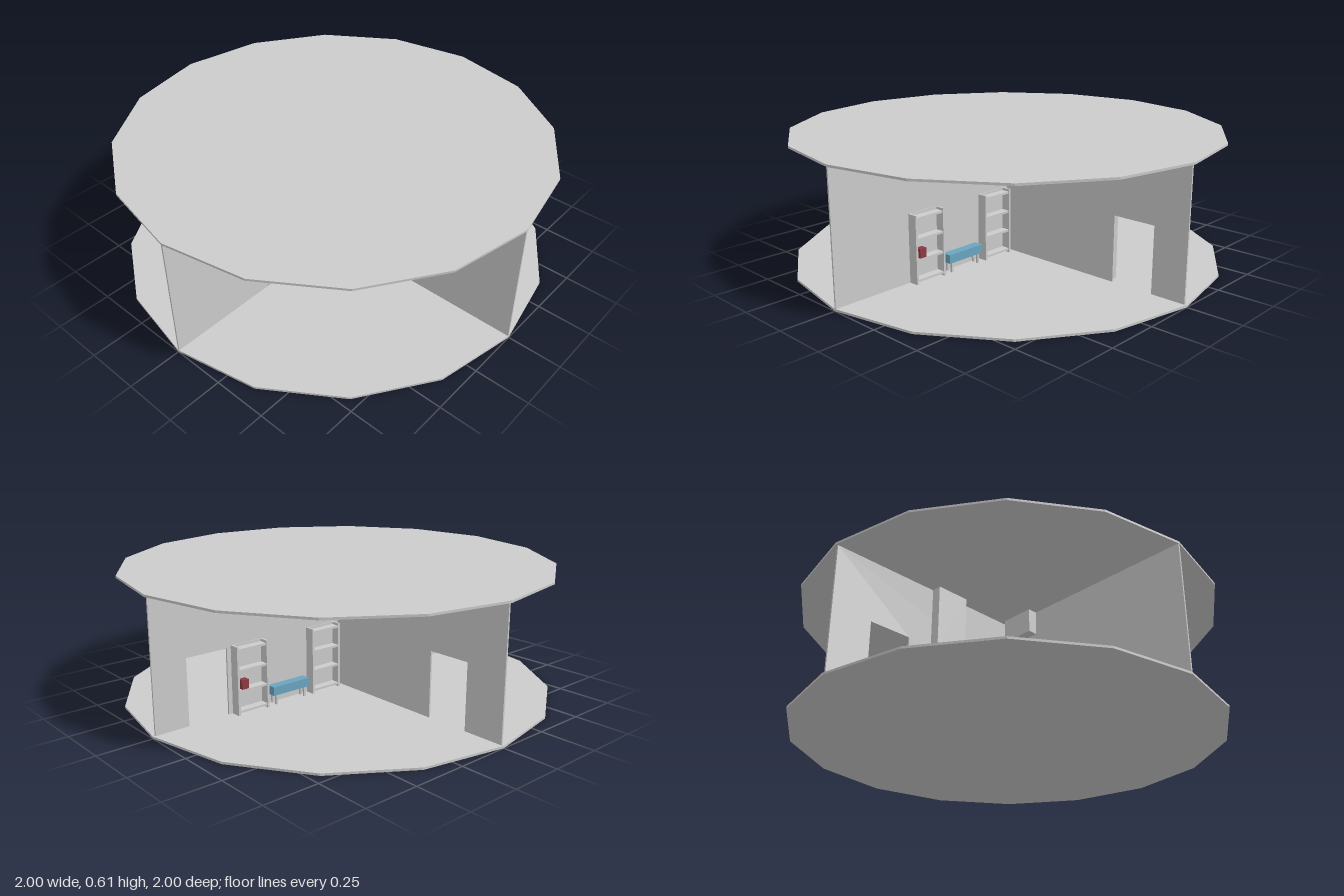
import * as THREE from 'three';

const grey = new THREE.MeshStandardMaterial({ color: 0xcccccc, flatShading: true });
const blue = new THREE.MeshStandardMaterial({ color: 0x6aa5c0, flatShading: true });
const red = new THREE.MeshStandardMaterial({ color: 0x8c3a44, flatShading: true });

const FLOOR = 0.01, CEILING = 0.595, WALL = 0.008;

// Box given by its minimum and maximum corners
function box(name, [x0, y0, z0], [x1, y1, z1], material = grey) {
  const mesh = new THREE.Mesh(new THREE.BoxGeometry(x1 - x0, y1 - y0, z1 - z0), material);
  mesh.position.set((x0 + x1) / 2, (y0 + y1) / 2, (z0 + z1) / 2);
  mesh.name = name;
  return mesh;
}

// Sixteen-sided slab
function slab(name, y) {
  const mesh = new THREE.Mesh(new THREE.CylinderGeometry(1, 1, 0.01, 16), grey);
  mesh.position.y = y;
  mesh.name = name;
  return mesh;
}

// Wall along x with one doorway cut up from the floor
function wall(name, doorStart, doorEnd) {
  const points = [
    [-0.99, FLOOR], [doorStart, FLOOR], [doorStart, 0.31], [doorEnd, 0.31],
    [doorEnd, FLOOR], [0.998, FLOOR], [0.998, CEILING], [-0.99, CEILING],
  ].map(([x, y]) => new THREE.Vector2(x, y));
  const geometry = new THREE.ExtrudeGeometry(new THREE.Shape(points), { depth: WALL, bevelEnabled: false });
  geometry.translate(0, 0, -WALL / 2);
  const mesh = new THREE.Mesh(geometry, grey);
  mesh.name = name;
  return mesh;
}

// Open bookcase backed on the wall and facing -z
function bookcase(x0, x1) {
  const group = new THREE.Group();
  group.name = 'bookcase';
  const top = 0.32, front = -0.05, back = -WALL / 2, t = 0.01;
  group.add(box('bookcaseBack', [x0, FLOOR, back - 0.004], [x1, top, back]));
  for (const x of [x0, x1 - t]) group.add(box('bookcaseSide', [x, FLOOR, front], [x + t, top, back]));
  for (let i = 0; i < 4; i++) {
    const y = FLOOR + 0.01 + i * 0.093;
    group.add(box('bookcaseShelf', [x0 + t, y, front + 0.003], [x1 - t, y + t, back]));
  }
  return group;
}

// Low bench with a blue seat on four legs
function bench(x0, x1) {
  const group = new THREE.Group();
  group.name = 'bench';
  group.add(box('benchSeat', [x0, 0.055, -0.05], [x1, 0.095, -0.006], blue));
  for (const x of [x0 + 0.015, x1 - 0.025])
    for (const z of [-0.046, -0.018])
      group.add(box('benchLeg', [x, FLOOR, z], [x + 0.01, 0.055, z + 0.01]));
  return group;
}

// Furniture row along one wall, running out from the centre
function furnitureRow() {
  const group = new THREE.Group();
  group.name = 'furnitureRow';
  group.add(bookcase(0.03, 0.195), bookcase(0.445, 0.61), bench(0.22, 0.42));
  group.add(box('book', [0.55, 0.122, -0.045], [0.585, 0.165, -0.015], red));
  return group;
}

export function createModel() {
  const model = new THREE.Group();
  model.name = 'roundHouse';
  model.add(slab('floor', 0.005), slab('ceiling', 0.6));

  // Two crossing walls make four rooms
  const crossWall = wall('crossWall', -0.83, -0.63);
  crossWall.rotation.y = -Math.PI / 2;
  model.add(wall('mainWall', -0.8, -0.6), crossWall);

  // Closed door set in the cross wall
  model.add(box('closedDoor', [-0.006, 0, 0.27], [0.006, 0.31, 0.47]));

  // Furniture in the two back rooms
  const rightRow = furnitureRow();
  rightRow.rotation.y = Math.PI / 2;
  model.add(furnitureRow(), rightRow);

  // Hanging cupboards in the front right room
  model.add(box('wallCupboard', [-0.48, 0.29, 0], [-0.32, CEILING, 0.05]));
  model.add(box('cornerCupboard', [-0.05, 0.48, 0.03], [0, CEILING, 0.19]));
  return model;
}
